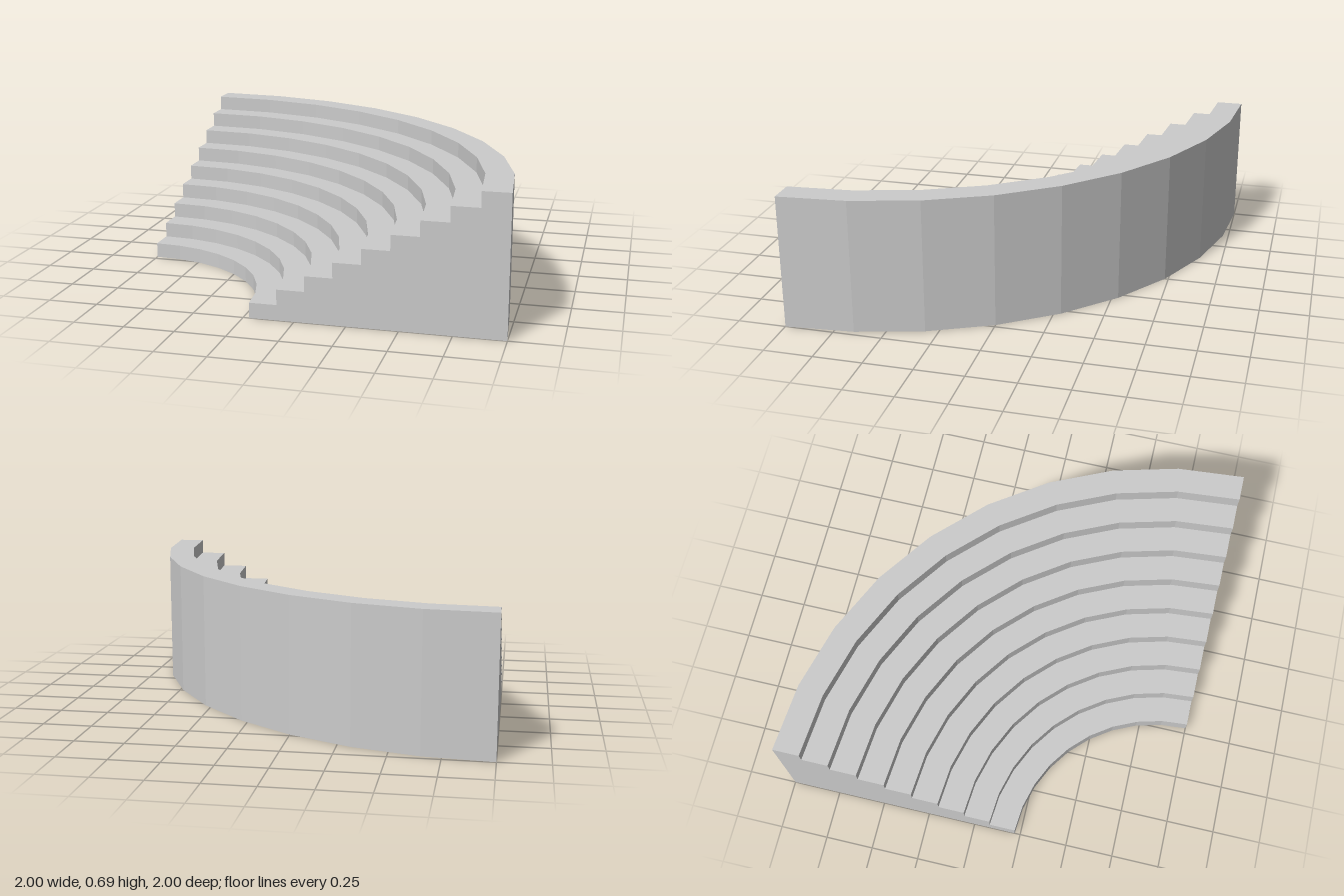
import * as THREE from 'three';

const STEPS = 9, INNER = 0.78, OUTER = 2, HEIGHT = 0.69, SEGMENTS = 9;

// Stepped cross-section (radius, height), counterclockwise from the outer foot
function stepProfile() {
  const tread = (OUTER - INNER) / STEPS, rise = HEIGHT / STEPS;
  const points = [new THREE.Vector2(OUTER, 0), new THREE.Vector2(OUTER, HEIGHT)];
  for (let i = STEPS - 1; i >= 0; i--) {
    const r = INNER + i * tread;
    points.push(new THREE.Vector2(r, (i + 1) * rise), new THREE.Vector2(r, i * rise));
  }
  return points;
}

export function createModel() {
  const group = new THREE.Group();
  group.name = 'curvedSteps';
  const material = new THREE.MeshStandardMaterial({ color: 0xcccccc, flatShading: true });
  const profile = stepProfile();

  const add = (name, geometry) => {
    const mesh = new THREE.Mesh(geometry, material);
    mesh.name = name;
    mesh.position.set(-1, 0, 1); // centre of the arc
    group.add(mesh);
  };

  // Quarter-turn sweep: treads, risers, back wall and underside
  add('tiers', new THREE.LatheGeometry([...profile, profile[0].clone()], SEGMENTS, Math.PI / 2, Math.PI / 2));

  // Flat end walls closing the sweep
  add('frontEndWall', new THREE.ShapeGeometry(new THREE.Shape(profile)));
  const mirrored = profile.map((p) => new THREE.Vector2(-p.x, p.y));
  add('rightEndWall', new THREE.ShapeGeometry(new THREE.Shape(mirrored)).rotateY(-Math.PI / 2));

  return group;
}
